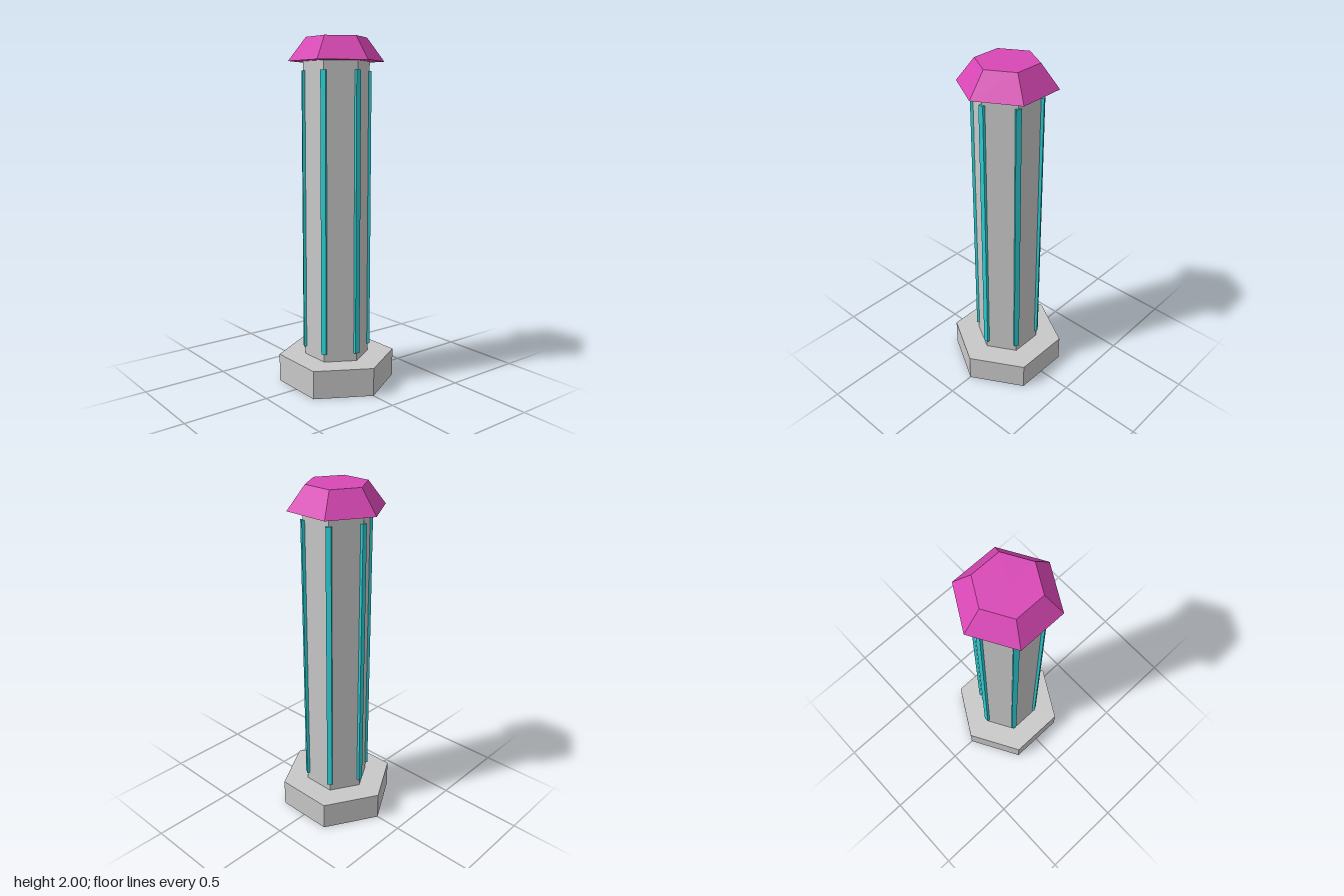
import * as THREE from 'three';

const grey = new THREE.MeshStandardMaterial({ name: 'light grey', color: 0xc8c8c8 });
const magenta = new THREE.MeshStandardMaterial({ name: 'magenta', color: 0xd847b5 });
const cyan = new THREE.MeshStandardMaterial({ name: 'cyan', color: 0x2cced3 });
for (const m of [grey, magenta, cyan]) m.flatShading = true;

// Six-sided prism or frustum with corners on the x axis
function hexPrism(name, topRadius, bottomRadius, y0, y1, material) {
  const geometry = new THREE.CylinderGeometry(topRadius, bottomRadius, y1 - y0, 6, 1, false, Math.PI / 6);
  const mesh = new THREE.Mesh(geometry, material);
  mesh.name = name;
  mesh.position.y = (y0 + y1) / 2;
  return mesh;
}

export function createModel() {
  const model = new THREE.Group();
  model.name = 'hexagonalPillar';

  model.add(
    hexPrism('base', 0.342, 0.342, 0, 0.163, grey),
    hexPrism('column', 0.189, 0.189, 0.163, 1.868, grey),
    hexPrism('cap', 0.172, 0.273, 1.868, 2, magenta),
  );

  // Thin strips running up the six corners of the column
  const strips = new THREE.Group();
  strips.name = 'cornerStrips';
  const stripGeometry = new THREE.BoxGeometry(0.02, 1.607, 0.03);
  for (let i = 0; i < 6; i++) {
    const angle = (i * Math.PI) / 3;
    const strip = new THREE.Mesh(stripGeometry, cyan);
    strip.name = 'cornerStrip';
    strip.position.set(Math.cos(angle) * 0.187, 1.013, Math.sin(angle) * 0.187);
    strip.rotation.y = -angle;
    strips.add(strip);
  }
  model.add(strips);

  return model;
}
